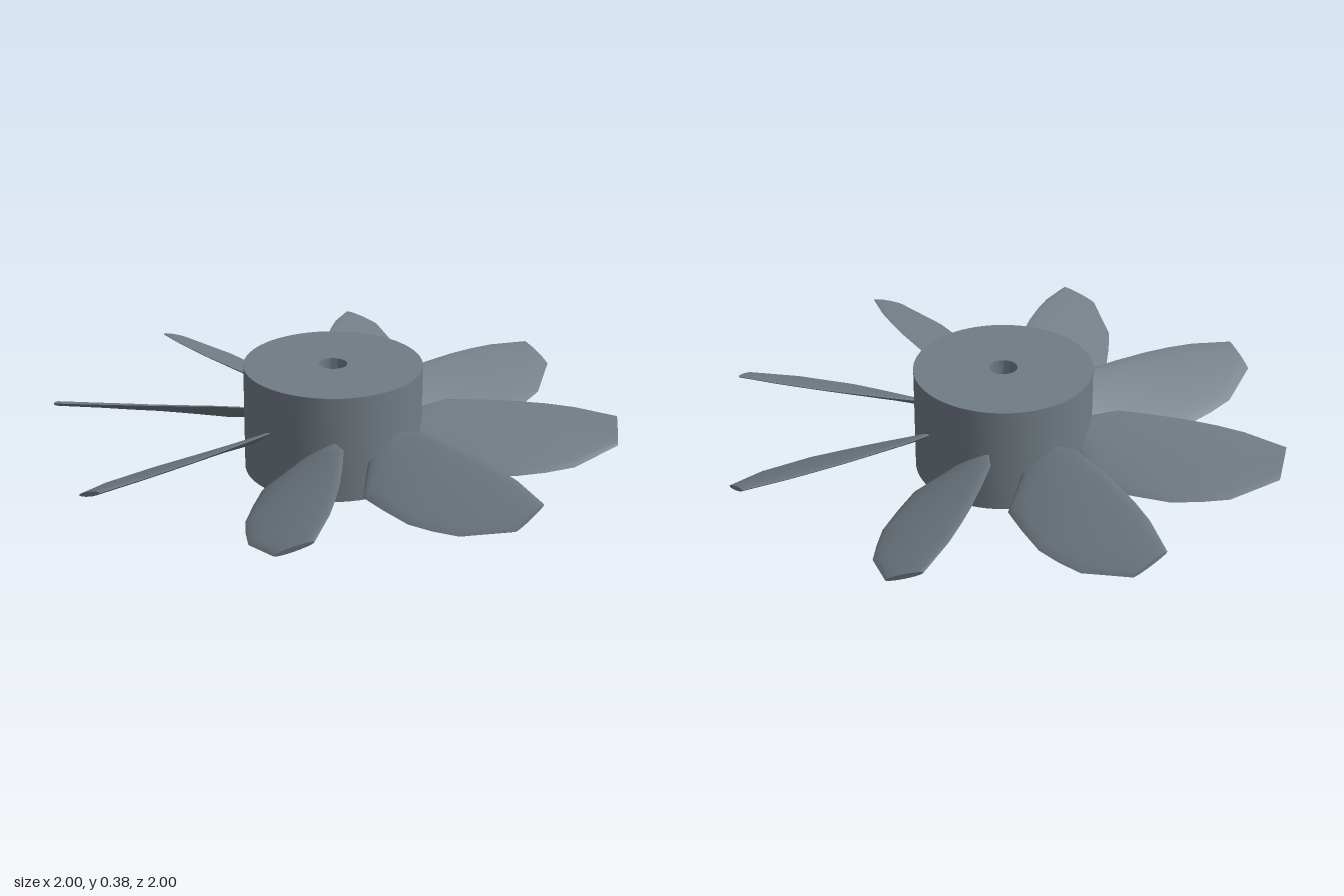
import * as THREE from 'three';
import { toCreasedNormals } from 'three/addons/utils/BufferGeometryUtils.js';

const BLADES = 8;

// Blade stations: radius, high edge z, low edge z, pitch slope, half thickness
const STATIONS = [
  [0.27, -0.01, 0.06, 0.66, 0.012],
  [0.32, -0.04, 0.12, 0.64, 0.012],
  [0.40, -0.07, 0.205, 0.57, 0.012],
  [0.52, -0.076, 0.22, 0.52, 0.012],
  [0.65, -0.078, 0.23, 0.48, 0.011],
  [0.75, -0.073, 0.215, 0.47, 0.011],
  [0.85, -0.063, 0.193, 0.45, 0.01],
  [1.0, -0.03, 0.097, 0.43, 0.009],
];

// Loft of thin elliptical sections, twisted along the radius (+x)
function bladeGeometry() {
  const n = 20, pos = [], idx = [];
  for (const [r, z0, z1, slope, t] of STATIONS) {
    for (let j = 0; j < n; j++) {
      const a = (j / n) * Math.PI * 2;
      const z = (z0 + z1) / 2 + ((z1 - z0) / 2) * Math.cos(a);
      pos.push(r, 0.195 - slope * z - t * Math.sin(a), z);
    }
  }
  for (let i = 0; i < STATIONS.length - 1; i++) {
    for (let j = 0; j < n; j++) {
      const k = (j + 1) % n;
      const a = i * n + j, b = i * n + k, c = b + n, d = a + n;
      idx.push(a, b, c, a, c, d);
    }
  }
  // flat tip
  const last = (STATIONS.length - 1) * n;
  for (let j = 1; j < n - 1; j++) idx.push(last, last + j, last + j + 1);
  const g = new THREE.BufferGeometry();
  g.setAttribute('position', new THREE.Float32BufferAttribute(pos, 3));
  g.setIndex(idx);
  return toCreasedNormals(g, 0.7);
}

export function createModel() {
  const group = new THREE.Group();
  group.name = 'fan';
  const metal = new THREE.MeshStandardMaterial({ color: 0x717c84 });
  metal.name = 'greyMetal';

  // Cylindrical hub with a through bore
  const profile = [[0.05, 0], [0.315, 0], [0.315, 0.385], [0.05, 0.385], [0.05, 0]]
    .map(([x, y]) => new THREE.Vector2(x, y));
  const hub = new THREE.Mesh(toCreasedNormals(new THREE.LatheGeometry(profile, 64), 0.6), metal);
  hub.name = 'hub';
  group.add(hub);

  // Evenly spaced pitched blades
  const blade = bladeGeometry();
  for (let i = 0; i < BLADES; i++) {
    const mesh = new THREE.Mesh(blade, metal);
    mesh.name = `blade${i + 1}`;
    mesh.rotation.y = (i / BLADES) * Math.PI * 2;
    group.add(mesh);
  }
  return group;
}
